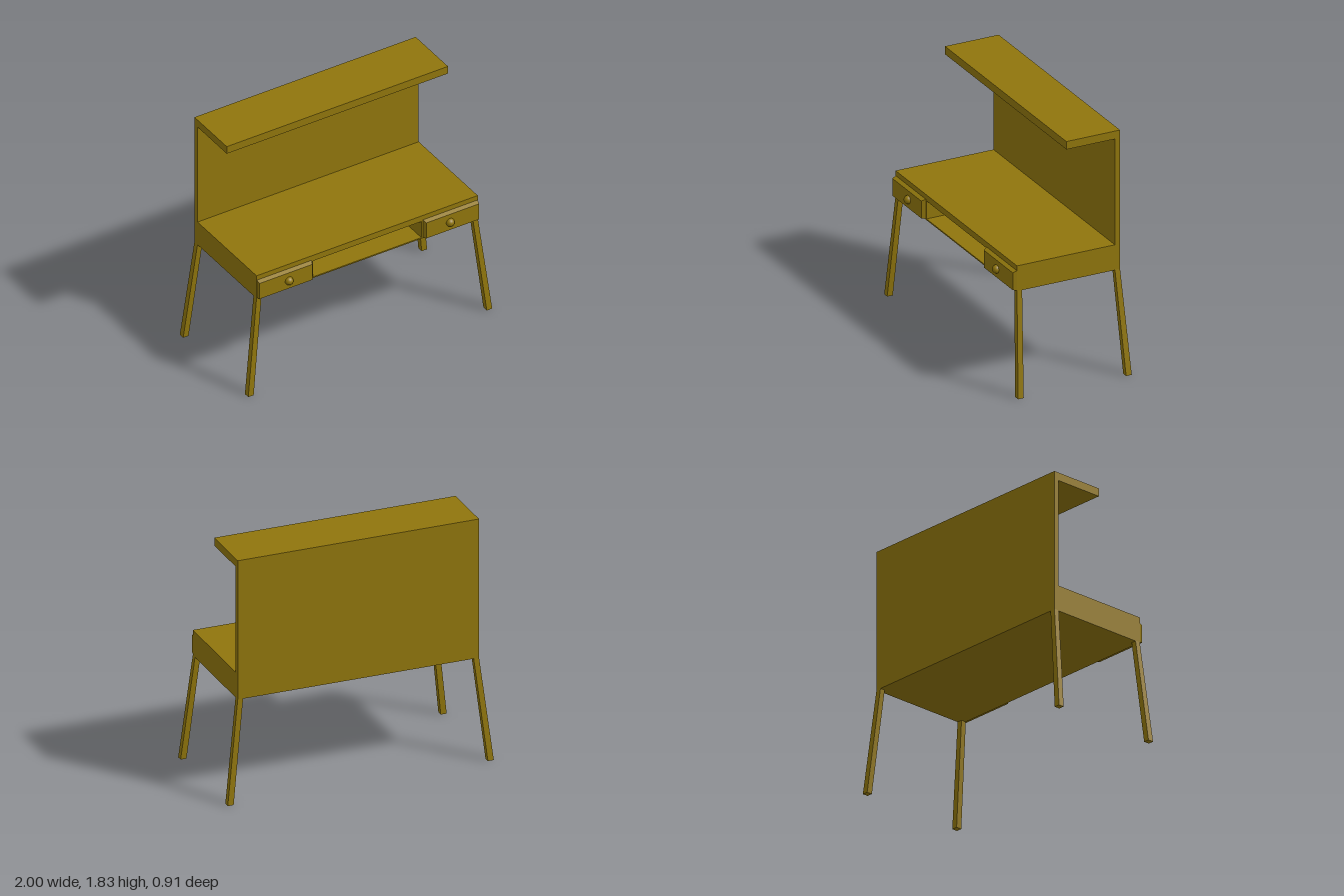
import * as THREE from 'three';

export function createModel() {
  const desk = new THREE.Group();
  desk.name = 'desk';
  const wood = new THREE.MeshStandardMaterial({ color: 0x8f750c });

  const add = (name, geometry) => {
    const mesh = new THREE.Mesh(geometry, wood);
    mesh.name = name;
    desk.add(mesh);
    return mesh;
  };

  // Box given by its limits on each axis
  const box = (name, x0, x1, y0, y1, z0, z1) => {
    const g = new THREE.BoxGeometry(x1 - x0, y1 - y0, z1 - z0);
    return add(name, g.translate((x0 + x1) / 2, (y0 + y1) / 2, (z0 + z1) / 2));
  };

  // Box whose corners are moved by a rule (x, y, z as signs -1 or 1)
  const shapedBox = (name, rule) => {
    const g = new THREE.BoxGeometry(2, 2, 2);
    const p = g.attributes.position;
    for (let i = 0; i < p.count; i++) p.setXYZ(i, ...rule(p.getX(i), p.getY(i), p.getZ(i)));
    const flat = g.toNonIndexed();
    flat.computeVertexNormals();
    return add(name, flat);
  };

  const W = 0.905, BACK = -0.412, PANEL = -0.372, FRONT = 0.393;

  // Back panel and overhanging upper shelf
  box('backPanel', -W, W, 0.775, 1.77, BACK, PANEL);
  box('upperShelf', -W, W, 1.77, 1.83, BACK, 0.007);

  // Desk body around the open centre compartment
  box('deskTop', -W, W, 0.92, 0.967, PANEL, FRONT);
  box('deskBottom', -W, W, 0.775, 0.785, PANEL, FRONT);

  for (const s of [1, -1]) {
    const side = s > 0 ? 'left' : 'right';
    const inner = s * 0.443;
    box(side + 'DrawerCase', Math.min(inner, s * W), Math.max(inner, s * W), 0.785, 0.92, PANEL, FRONT);

    // Drawer front with bevelled edges
    shapedBox(side + 'DrawerFront', (x, y, z) => {
      const front = z > 0;
      const outer = x * s > 0;
      return [
        s * (outer ? (front ? 0.898 : 0.904) : (front ? 0.466 : 0.453)),
        y > 0 ? (front ? 0.917 : 0.932) : (front ? 0.786 : 0.779),
        front ? 0.422 : FRONT - 0.005,
      ];
    });

    // Round knob
    add(side + 'DrawerKnob', new THREE.SphereGeometry(0.031, 24, 16)).position.set(s * 0.659, 0.852, 0.424);

    // Splayed legs, one square section sheared outward to the foot
    for (const f of [1, -1]) {
      shapedBox(side + (f > 0 ? 'Front' : 'Back') + 'Leg', (x, y, z) => {
        const top = y > 0;
        const cx = s * (top ? 0.885 : 0.976);
        const cz = f > 0 ? (top ? 0.373 : 0.411) : (top ? -0.392 : -0.433);
        const half = top ? 0.02 : 0.022;
        return [cx + x * half, top ? 0.778 : 0, cz + z * half];
      });
    }
  }

  return desk;
}
